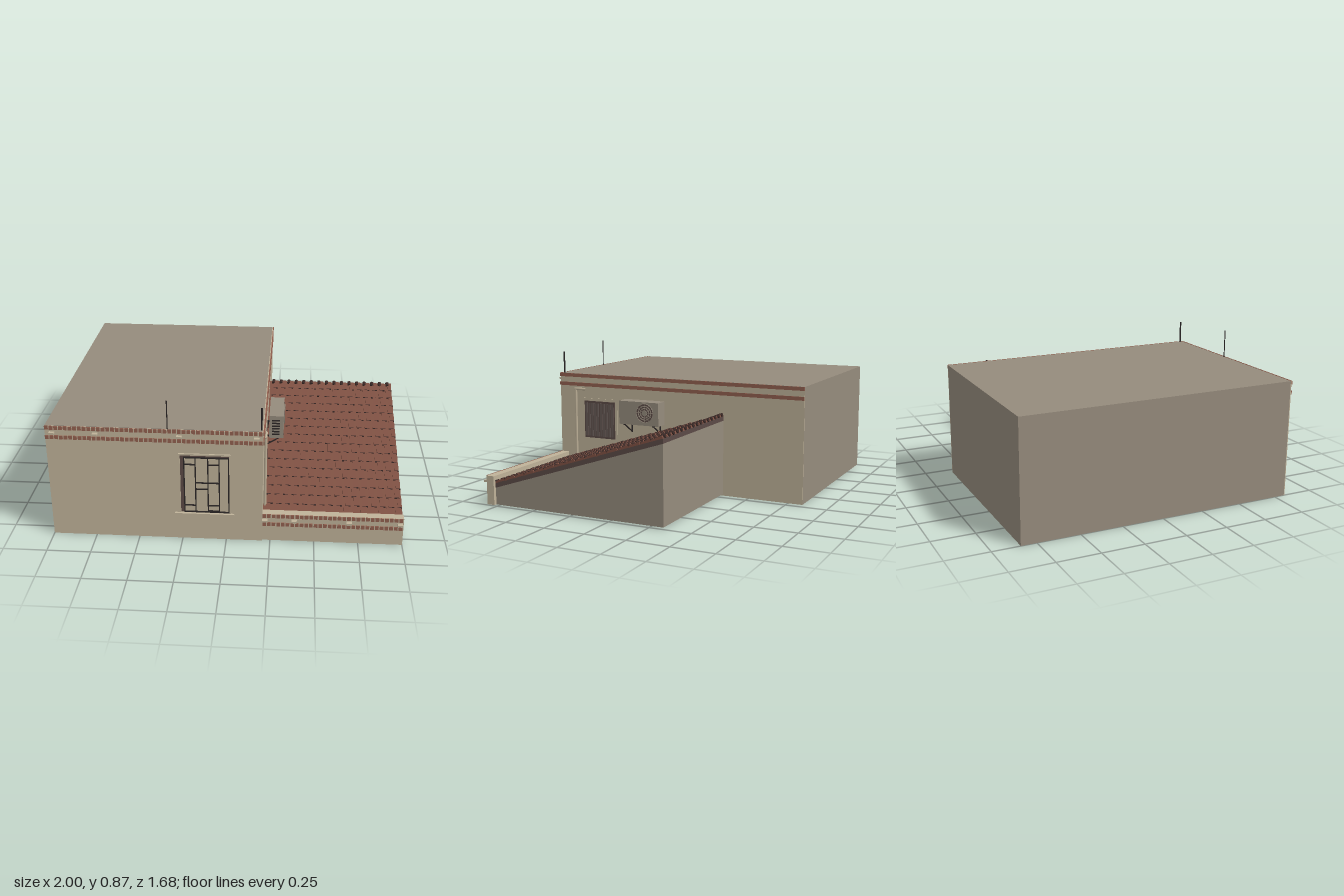
import * as THREE from 'three';
import { mergeGeometries } from 'three/addons/utils/BufferGeometryUtils.js';

const mat = (name, color) => {
  const m = new THREE.MeshStandardMaterial({ color });
  m.name = name;
  return m;
};

export function createModel() {
  const root = new THREE.Group();
  root.name = 'house';
  const cream = mat('cream plaster', 0xbfb299);
  const grey = mat('grey render', 0x958b7c);
  const brick = mat('brick red', 0x92604f);
  const tileRed = mat('roof tile', 0x7f5143);
  const tileDark = mat('tile shadow', 0x3c2b28);
  const fascia = mat('brown fascia', 0x5c4a46);
  const iron = mat('dark iron', 0x2b2626);
  const glass = mat('window slats', 0x665a56);

  // box geometry from its two opposite corners
  const block = (x0, x1, y0, y1, z0, z1) => new THREE.BoxGeometry(x1 - x0, y1 - y0, z1 - z0)
    .translate((x0 + x1) / 2, (y0 + y1) / 2, (z0 + z1) / 2);
  const add = (name, geo, material, parent = root) => {
    const m = new THREE.Mesh(Array.isArray(geo) ? mergeGeometries(geo) : geo, material);
    m.name = name;
    parent.add(m);
    return m;
  };
  const rod = (a, b, r, sides = 8) => new THREE.TubeGeometry(
    new THREE.LineCurve3(new THREE.Vector3(...a), new THREE.Vector3(...b)), 1, r, sides);

  // main block with plastered front and right walls
  add('mainBlock', block(-1, 0.2, 0, 0.694, -0.84, 0.814), grey);
  add('frontWall', block(-1, 0.2, 0, 0.692, 0.814, 0.819), cream);
  add('rightWall', block(0.2, 0.205, 0, 0.692, -0.84, 0.819), cream);

  // brick courses: separate bricks on the front, long courses on the side
  const frontBricks = (x0, x1, y0, y1, z) => {
    const n = Math.round((x1 - x0) / 0.0265), w = (x1 - x0) / n, out = [];
    for (let i = 0; i < n; i++) {
      out.push(block(x0 + i * w, x0 + i * w + w * 0.76, y0, y1, z, z + 0.006));
    }
    return out;
  };
  for (const [y0, y1] of [[0.615, 0.637], [0.672, 0.694]]) {
    add('frontBrickCourse', frontBricks(-1, 0.206, y0, y1, 0.819), brick);
    add('sideBrickCourse', block(0.205, 0.21, y0, y1, -0.84, 0.822), brick);
  }

  // low front wall of the annex
  add('lowWall', block(0.2, 1, 0.005, 0.176, 0.768, 0.817), cream);
  for (const [y0, y1] of [[0.102, 0.124], [0.155, 0.177]]) {
    add('lowWallBricks', frontBricks(0.206, 1, y0, y1, 0.817), brick);
  }

  // small drain spouts on both parapets
  const spouts = [];
  for (const x of [-0.96, -0.72, -0.255, 0.17]) spouts.push(block(x - 0.015, x + 0.015, 0.65, 0.66, 0.815, 0.842));
  for (const x of [0.22, 0.385, 0.695, 0.98]) spouts.push(block(x - 0.015, x + 0.015, 0.135, 0.147, 0.815, 0.842));
  add('spouts', spouts, cream);

  // annex body: sloped prism under the tiles
  const zF = 0.755, zB = -0.335, yF = 0.138, yB = 0.49;
  const prism = (pts, x0, x1) => new THREE.ExtrudeGeometry(
    new THREE.Shape(pts.map(([z, y]) => new THREE.Vector2(-z, y))),
    { depth: x1 - x0, bevelEnabled: false }).rotateY(Math.PI / 2).translate(x0, 0, 0);
  add('annexBody', prism([[zF, 0.01], [zB, 0.01], [zB, yB - 0.028], [zF, yF - 0.028]], 0.205, 0.997), grey);
  add('annexFascia', prism([[zF, yF - 0.028], [zB, yB - 0.028], [zB, yB], [zF, yF]], 0.205, 1), fascia);

  // tiled roof, laid in staggered rows along the slope
  const roof = new THREE.Group();
  roof.name = 'tiledRoof';
  roof.position.set(0.205, yF, zF);
  roof.rotation.x = Math.atan2(yB - yF, zF - zB);
  root.add(roof);
  const len = Math.hypot(yB - yF, zF - zB), width = 0.795;
  const rows = 16, cols = 16, step = len / rows, pitch = width / cols;
  const tiles = [], lips = [];
  add('tileBed', block(0, width, 0, 0.003, -len, 0), tileRed, roof);
  for (let r = 0; r < rows; r++) {
    // each course rises toward its lower edge
    const course = new THREE.BoxGeometry(width, 0.007, step).rotateX(0.09);
    tiles.push(course.translate(width / 2, 0.004, -(r + 0.5) * step));
    for (let c = 0; c < cols; c++) {
      const x = (c + (r % 2 ? 0.5 : 0.25)) * pitch;
      const w = Math.min(0.03, width - x);
      const tile = new THREE.BoxGeometry(w, 0.01, step * 0.96).rotateX(0.1);
      tiles.push(tile.translate(x + w / 2, 0.008, -(r + 0.5) * step));
      lips.push(block(x, x + w, 0.004, 0.0155, -r * step - 0.003, -r * step + 0.002));
    }
  }
  add('tiles', tiles, tileRed, roof);
  add('tileLips', lips, tileDark, roof);
  const caps = [];
  for (let c = 0; c < cols; c++) {
    caps.push(new THREE.CylinderGeometry(0.011, 0.011, 0.03, 8).rotateX(Math.PI / 2)
      .translate((c + 0.5) * pitch, 0.01, -len + 0.008));
  }
  add('ridgeCaps', caps, tileDark, roof);

  // front window: surround, dark reveal, pale panes and iron grille
  const front = new THREE.Group();
  front.name = 'frontWindow';
  root.add(front);
  add('sill', block(-0.29, 0.046, 0.16, 0.172, 0.815, 0.833), cream, front);
  add('surround', [block(-0.265, -0.255, 0.176, 0.55, 0.818, 0.827), block(0.018, 0.028, 0.176, 0.55, 0.818, 0.827),
    block(-0.265, 0.028, 0.54, 0.55, 0.818, 0.827)], cream, front);
  add('reveal', block(-0.255, 0.018, 0.18, 0.54, 0.818, 0.821), fascia, front);
  add('panes', block(-0.23, 0.016, 0.185, 0.527, 0.82, 0.823), cream, front);
  const bars = [];
  for (const x of [-0.233, -0.17, -0.1, -0.037, 0.016]) bars.push(block(x - 0.003, x + 0.003, 0.18, 0.53, 0.822, 0.83));
  for (const [x0, x1, y] of [[-0.233, -0.17, 0.485], [-0.233, -0.17, 0.225], [-0.17, -0.1, 0.37], [-0.17, -0.1, 0.33],
    [-0.1, -0.037, 0.485], [-0.1, -0.037, 0.37], [-0.1, -0.037, 0.225], [-0.1, -0.037, 0.19], [-0.233, 0.016, 0.528],
    [-0.233, 0.016, 0.183]]) bars.push(block(x0, x1, y - 0.003, y + 0.003, 0.822, 0.83));
  add('grille', bars, iron, front);

  // side window with two slatted leaves
  const side = new THREE.Group();
  side.name = 'sideWindow';
  root.add(side);
  add('surround', block(0.204, 0.209, 0.27, 0.54, 0.395, 0.655), cream, side);
  add('frame', block(0.208, 0.213, 0.285, 0.523, 0.413, 0.635), fascia, side);
  const slats = [];
  for (let i = 0; i < 10; i++) {
    const z = 0.423 + i * 0.0205 + (i > 4 ? 0.004 : 0);
    slats.push(block(0.212, 0.216, 0.297, 0.51, z, z + 0.015));
  }
  add('slats', slats, glass, side);

  // drainpipe with an elbow at the top
  add('drainpipe', [rod([0.215, 0.16, 0.698], [0.215, 0.6, 0.698], 0.008), rod([0.215, 0.597, 0.705], [0.215, 0.597, 0.625], 0.008)], cream);

  // air conditioner on brackets
  const ac = new THREE.Group();
  ac.name = 'airConditioner';
  root.add(ac);
  add('casing', block(0.222, 0.308, 0.41, 0.555, 0.052, 0.325), grey, ac);
  const disc = (r, x) => new THREE.CylinderGeometry(r, r, 0.004, 32).rotateZ(Math.PI / 2).translate(x, 0.488, 0.145);
  add('fanOpening', disc(0.058, 0.308), fascia, ac);
  const grilleRings = [0.058, 0.043, 0.03].map(r => new THREE.TorusGeometry(r, 0.0025, 6, 32)
    .rotateY(Math.PI / 2).translate(0.311, 0.488, 0.145));
  for (let i = 0; i < 12; i++) {
    const a = i * Math.PI / 6;
    grilleRings.push(rod([0.311, 0.488, 0.145], [0.311, 0.488 + 0.058 * Math.sin(a), 0.145 + 0.058 * Math.cos(a)], 0.0016, 5));
  }
  add('fanGrille', grilleRings, grey, ac);
  add('fanHub', disc(0.017, 0.311), grey, ac);
  const vents = [];
  for (let i = 0; i < 6; i++) vents.push(block(0.238, 0.285, 0.432 + i * 0.018, 0.44 + i * 0.018, 0.322, 0.329));
  add('vents', vents, iron, ac);
  const brackets = [];
  for (const z of [0.09, 0.29]) {
    brackets.push(block(0.205, 0.308, 0.404, 0.411, z - 0.004, z + 0.004), block(0.205, 0.212, 0.345, 0.41, z - 0.004, z + 0.004));
    brackets.push(rod([0.21, 0.35, z], [0.3, 0.407, z], 0.004).toNonIndexed());
  }
  add('brackets', brackets.map(g => g.index ? g.toNonIndexed() : g), iron, ac);

  // rooftop rods
  add('thinAntenna', rod([-0.32, 0.69, 0.812], [-0.32, 0.865, 0.812], 0.003), iron);
  add('thickAntenna', rod([0.194, 0.69, 0.795], [0.194, 0.83, 0.795], 0.005), iron);

  return root;
}
